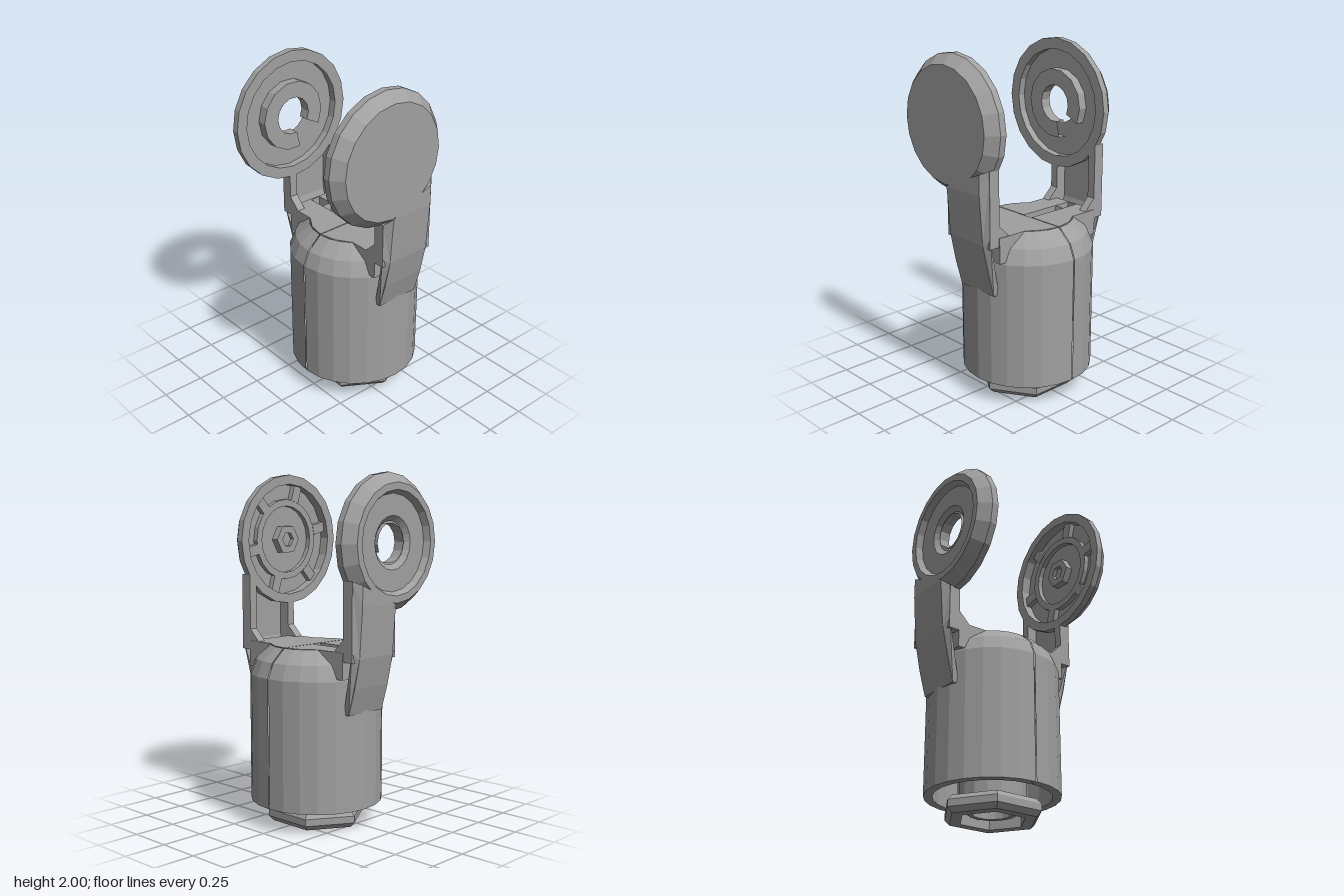
import * as THREE from 'three';

const grey = new THREE.MeshStandardMaterial({ color: 0xa0a0a0, flatShading: true, side: THREE.DoubleSide });
grey.name = 'warm grey plastic';

const BODY_Z = -0.075;              // axis of the round body
const EYE = { y: 1.615, z: 0.075 }; // centre of the round arm ends

const points = list => list.map(([a, b]) => new THREE.Vector2(a, b));

function add(parent, name, geometry) {
  const mesh = new THREE.Mesh(geometry, grey);
  mesh.name = name;
  parent.add(mesh);
  return mesh;
}

function lathe(profile, segments, start = 0, length = Math.PI * 2) {
  return new THREE.LatheGeometry(points(profile), segments, start, length);
}

// Extrude an x-y outline between two z positions
function slab(outline, z0, z1) {
  const g = new THREE.ExtrudeGeometry(new THREE.Shape(points(outline)), { depth: z1 - z0, bevelEnabled: false });
  return g.translate(0, 0, z0);
}

// Shift vertices by a rule
function reshape(g, rule) {
  const p = g.attributes.position;
  const v = new THREE.Vector3();
  for (let i = 0; i < p.count; i++) {
    v.fromBufferAttribute(p, i);
    rule(v);
    p.setXYZ(i, v.x, v.y, v.z);
  }
  g.computeVertexNormals();
  return g;
}

// One half of the hollow, domed body with its flat top plate
function bodyHalf(slotted) {
  const half = new THREE.Group();
  half.name = slotted ? 'rightBodyHalf' : 'leftBodyHalf';
  add(half, 'shell', lathe([
    [0.11, 0.85], [0.11, 0.3], [0.33, 0.3], [0.33, 0.13], [0.38, 0.13], [0.38, 0.87],
    [0.345, 0.955], [0.26, 1.03], [0.24, 0.85], [0.11, 0.85],
  ], 12, 0, Math.PI));
  const outline = [
    [0, -0.255], [0.1, -0.235], [0.185, -0.18], [0.37, -0.18],
    [0.37, 0.18], [0.185, 0.18], [0.1, 0.235], [0, 0.255],
  ];
  if (slotted) outline.push([0, 0.03], [0.36, 0.03], [0.36, -0.035], [0, -0.035]);
  add(half, 'topPlate', slab(outline, 0, 0.15).rotateX(Math.PI / 2).translate(0, 1.032, 0));
  half.position.set(slotted ? -0.003 : 0.003, 0, BODY_Z);
  if (slotted) half.scale.x = -1;
  return half;
}

// Channel-shaped stem that blends down into the body side
function stem() {
  const g = new THREE.Group();
  g.name = 'stem';
  const slope = v => { if (v.y > 1.3) v.y = 1.33 - 0.5 * (v.z + 0.07); };
  const back = slab([
    [0.435, 1.4], [0.34, 1.0], [0.34, 0.68], [0.378, 0.68],
    [0.42, 0.83], [0.455, 1.0], [0.475, 1.28], [0.475, 1.4],
  ].map(([x, y], i) => i === 1 ? [0.434, 1.035] : [x, y]), -0.25, 0.105);
  add(g, 'stemBack', reshape(back, v => {
    if (v.x > 0.44 || v.y < 0.9) v.z = -0.0725 + (v.z + 0.0725) * 0.77;
    slope(v);
  }));
  // side walls with small feet at the platform
  for (const z of [-0.25, 0.055]) {
    const wall = slab([
      [0.37, 1.4], [0.37, 1.1], [0.3, 1.03], [0.3, 0.98], [0.437, 0.98], [0.437, 1.4],
    ], z, z + 0.05);
    add(g, 'stemWall', reshape(wall, slope));
  }
  return g;
}

// Turn a lathe so its axis points outward on the given side
function place(mesh, side) {
  mesh.rotation.z = -side * Math.PI / 2;
  mesh.position.set(0, EYE.y, EYE.z);
  return mesh;
}

function leftArm() {
  const arm = new THREE.Group();
  arm.name = 'leftArm';
  arm.add(stem());
  // closed disc, hollowed on the inside
  place(add(arm, 'disc', lathe([
    [0, 0.43], [0.2, 0.43], [0.2, 0.4], [0.24, 0.4], [0.24, 0.43], [0.33, 0.43], [0.33, 0.37],
    [0.385, 0.37], [0.385, 0.41], [0.33, 0.475], [0, 0.475],
  ], 20)), 1);
  place(add(arm, 'hexBoss', lathe([
    [0, 0.41], [0.045, 0.41], [0.045, 0.385], [0.09, 0.385], [0.09, 0.435],
  ], 6)), 1);
  for (let i = 0; i < 6; i++) {
    const rib = new THREE.BoxGeometry(0.035, 0.1, 0.06).translate(0.415, 0.285, 0);
    rib.rotateX(i * Math.PI / 3 + 0.3).translate(0, EYE.y, EYE.z);
    add(arm, 'rib', rib);
  }
  return arm;
}

function rightArm() {
  const arm = new THREE.Group();
  arm.name = 'rightArm';
  const post = stem();
  post.scale.x = -1;
  arm.add(post);
  // open disc, recessed on both faces
  place(add(arm, 'disc', lathe([
    [0.15, 0.44], [0.12, 0.415], [0.32, 0.415], [0.32, 0.37], [0.385, 0.37], [0.385, 0.41],
    [0.33, 0.475], [0.29, 0.475], [0.27, 0.44], [0.15, 0.44],
  ], 20)), -1);
  // broken collar around the hole
  place(add(arm, 'collar', lathe([
    [0.11, 0.425], [0.11, 0.36], [0.205, 0.36], [0.205, 0.42],
  ], 12, 4.5, 5.4)), -1);
  return arm;
}

export function createModel() {
  const model = new THREE.Group();
  model.name = 'forkedBracket';
  model.add(bodyHalf(false), bodyHalf(true), leftArm(), rightArm());

  // hollow neck and hexagonal nut under the body
  const neck = add(model, 'neck', lathe([
    [0.11, 0.31], [0.11, 0.04], [0.14, 0.04], [0.14, 0.08], [0.19, 0.08], [0.19, 0.31],
  ], 16));
  neck.position.z = BODY_Z;
  const nut = add(model, 'nut', lathe([
    [0.2, 0.1], [0.2, 0], [0.27, 0], [0.3, 0.03], [0.3, 0.07], [0.27, 0.1], [0.18, 0.1],
  ], 6, Math.PI / 6));
  nut.position.z = BODY_Z;
  nut.scale.z = 0.93;
  return model;
}
